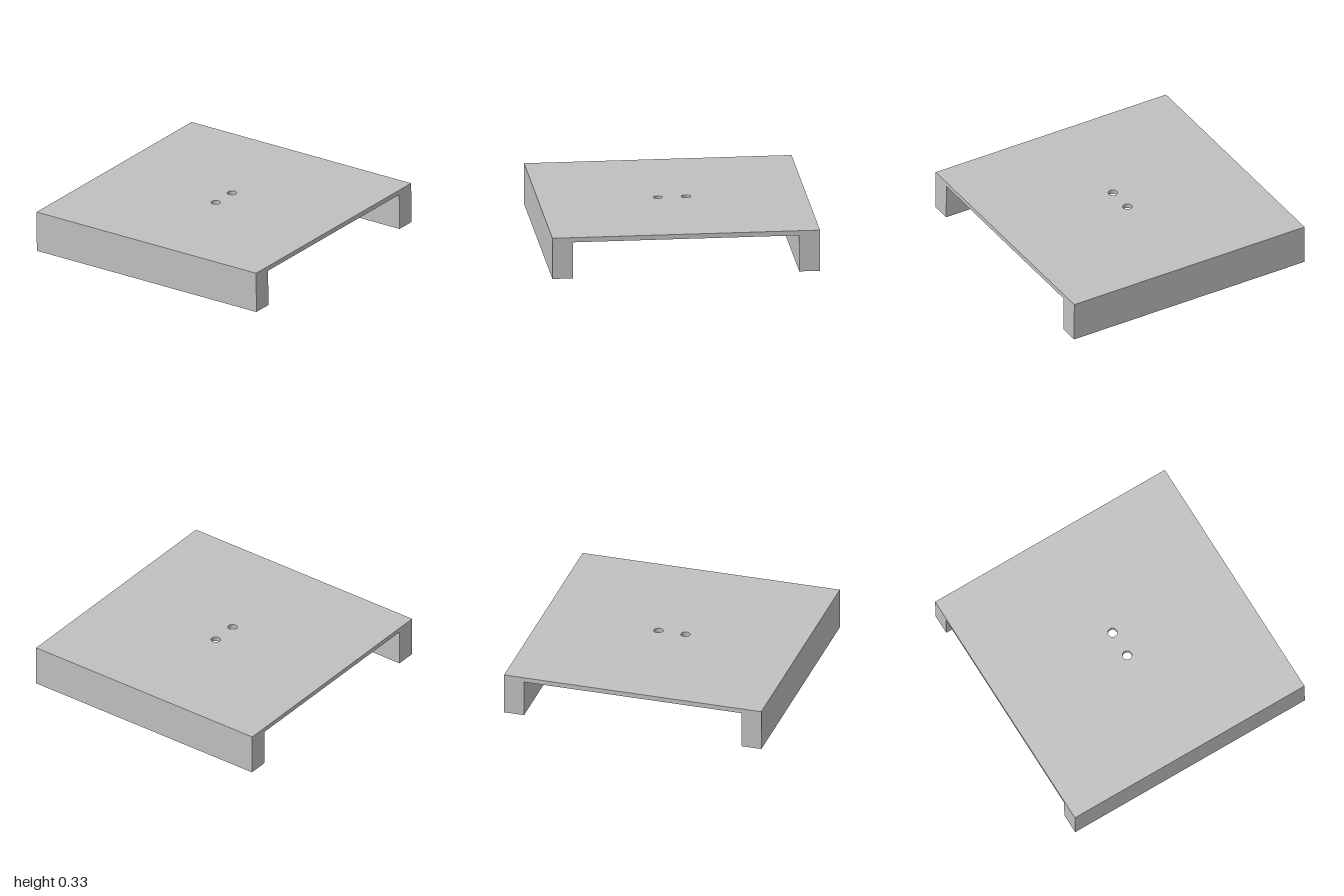
import * as THREE from 'three';

const HEIGHT = 0.315, LENGTH = 1.9973, PLATE = 0.036, LEG = 0.155;
const TILT = THREE.MathUtils.degToRad(0.5);

export function createModel() {
  const grey = new THREE.MeshStandardMaterial({ color: 0xc0c0c0 });
  grey.name = 'grey';

  const root = new THREE.Group();
  root.name = 'bracket';
  const body = new THREE.Group();
  body.name = 'tiltedBody';
  root.add(body);

  // Top plate with two round through holes
  const h = LENGTH / 2;
  const outline = new THREE.Shape([
    new THREE.Vector2(-1, -h), new THREE.Vector2(1, -h),
    new THREE.Vector2(1, h), new THREE.Vector2(-1, h),
  ]);
  for (const x of [-0.105, 0.105]) {
    outline.holes.push(new THREE.Path().absarc(x, 0, 0.035, 0, Math.PI * 2, true));
  }
  const plateGeometry = new THREE.ExtrudeGeometry(outline, {
    depth: PLATE, bevelEnabled: false, curveSegments: 32,
  });
  plateGeometry.rotateX(-Math.PI / 2);
  const plate = new THREE.Mesh(plateGeometry, grey);
  plate.name = 'topPlate';
  plate.position.y = HEIGHT - PLATE;
  body.add(plate);

  // Side rails under the plate
  for (const side of [-1, 1]) {
    const railHeight = HEIGHT - PLATE;
    const rail = new THREE.Mesh(new THREE.BoxGeometry(LEG, railHeight, LENGTH), grey);
    rail.name = side > 0 ? 'leftRail' : 'rightRail';
    rail.position.set(side * (1 - LEG / 2), railHeight / 2, 0);
    body.add(rail);
  }

  // Slight tilt: the front is raised, the rear edge rests on the ground
  body.rotation.x = -TILT;
  body.position.set(0, h * Math.sin(TILT), HEIGHT * Math.sin(TILT) / 2);
  return root;
}
